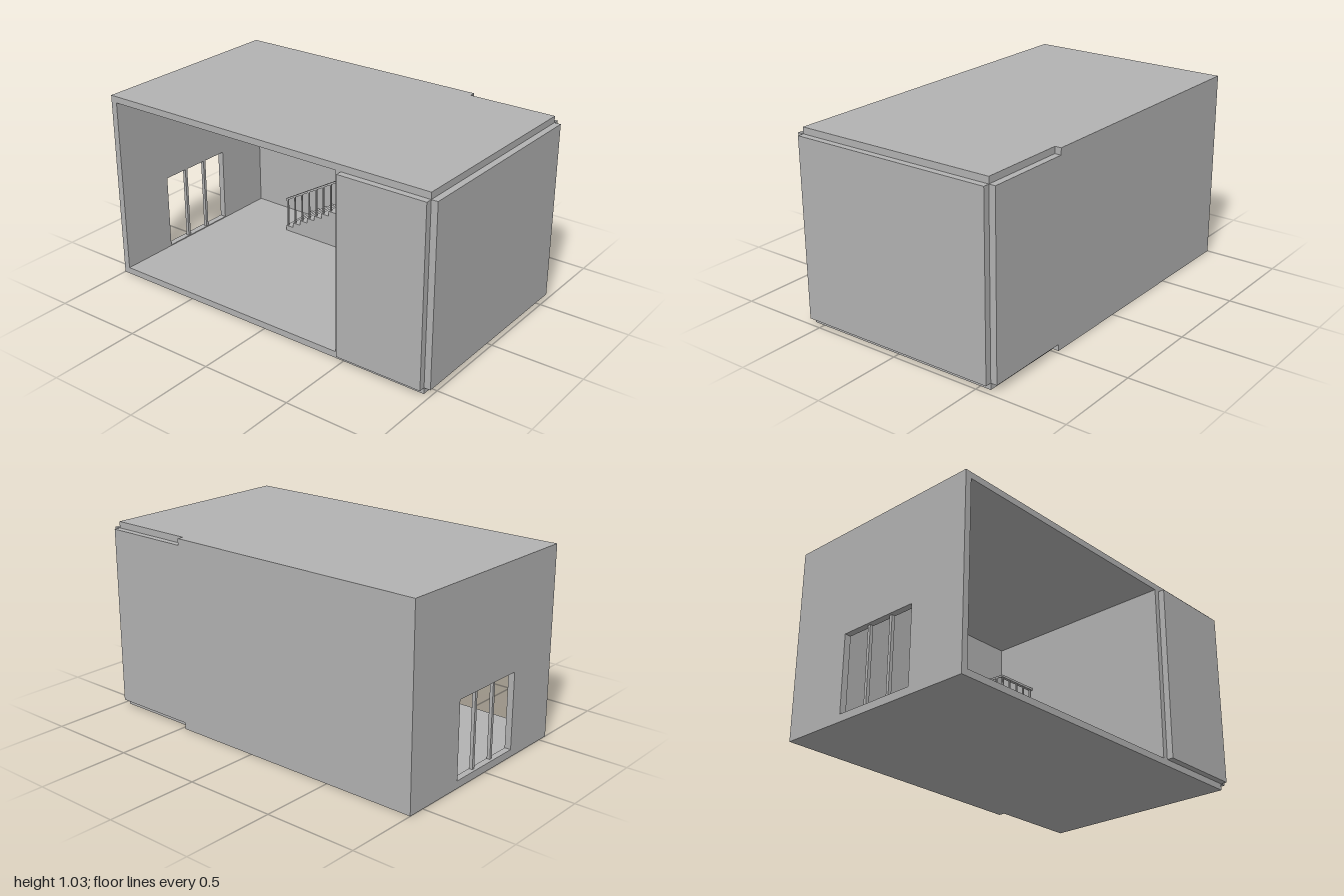
import * as THREE from 'three';

export function createModel() {
  const model = new THREE.Group();
  model.name = 'cutawayRoom';
  const plaster = new THREE.MeshStandardMaterial({ color: 0xb2b2b2 });
  plaster.name = 'plasterGrey';

  const add = (name, geometry, parent = model) => {
    const mesh = new THREE.Mesh(geometry, plaster);
    mesh.name = name;
    parent.add(mesh);
    return mesh;
  };
  // Box given by its limits on each axis
  const box = (name, x0, x1, y0, y1, z0, z1, parent) => {
    const mesh = add(name, new THREE.BoxGeometry(x1 - x0, y1 - y0, z1 - z0), parent);
    mesh.position.set((x0 + x1) / 2, (y0 + y1) / 2, (z0 + z1) / 2);
    return mesh;
  };

  const T = 0.035, H = 1.035, TOP = H - T; // slab thickness, height, ceiling
  const OUT = 0.595, IN = 0.56, END = 0.965;

  // Slabs and walls
  box('floor', -END, END, 0, T, -IN, IN);
  box('roof', -END, END, TOP, H, -IN, IN);
  box('backWall', -END, 0.48, 0, H, -OUT, -IN);
  box('partitionWall', 0.45, 0.48, T, TOP, -IN, IN);
  box('frontPanel', 0.48, END, T, TOP, IN, OUT);
  box('backPanel', 0.48, END, T, TOP, -OUT, -IN);
  box('endWall', END, 1, T, TOP, -IN, IN);

  // End wall with a window opening, drawn in the z-y plane
  const rect = (Type, a, b, c, d) => new Type([[a, c], [b, c], [b, d], [a, d]].map(p => new THREE.Vector2(...p)));
  const wall = rect(THREE.Shape, -OUT, IN, 0, H);
  wall.holes.push(rect(THREE.Path, -0.23, 0.23, 0.04, 0.455));
  const wallGeometry = new THREE.ExtrudeGeometry(wall, { depth: T, bevelEnabled: false });
  wallGeometry.rotateY(-Math.PI / 2);
  add('windowWall', wallGeometry).position.x = -END;
  for (const z of [-0.075, 0.075]) {
    box('windowMullion', -0.985, -0.967, 0.04, 0.455, z - 0.008, z + 0.008);
  }

  // Solid staircase with a landing, extruded from its side profile
  const stairs = new THREE.Group();
  stairs.name = 'stairs';
  model.add(stairs);
  const STEPS = 15, RUN = 0.0515, RISE = 0.03, X0 = -0.57, FRONT = -0.32;
  const landingX = X0 + STEPS * RUN, landingY = T + (STEPS + 1) * RISE;
  const profile = new THREE.Shape();
  profile.moveTo(X0, T);
  for (let i = 0; i <= STEPS; i++) {
    const y = T + (i + 1) * RISE;
    profile.lineTo(X0 + i * RUN, y);
    profile.lineTo(i < STEPS ? X0 + (i + 1) * RUN : 0.45, y);
  }
  profile.lineTo(0.45, T);
  const steps = add('steps', new THREE.ExtrudeGeometry(profile, { depth: FRONT + IN, bevelEnabled: false }), stairs);
  steps.position.z = -IN;

  // Handrail, sloped and then level
  const R0 = 0.223, R1 = 0.673, RT = 0.013, railZ = FRONT - 0.009;
  const rail = new THREE.Shape([
    [X0, R0], [landingX, R1], [0.45, R1], [0.45, R1 + RT], [landingX, R1 + RT], [X0, R0 + RT],
  ].map(p => new THREE.Vector2(...p)));
  const handrail = add('handrail', new THREE.ExtrudeGeometry(rail, { depth: 0.018, bevelEnabled: false }), stairs);
  handrail.position.z = railZ - 0.009;

  // Balusters, one per tread and five on the landing
  const B = 0.004;
  const baluster = (x, y0, y1) => box('baluster', x - B, x + B, y0, y1, railZ - B, railZ + B, stairs);
  for (let i = 0; i < STEPS; i++) {
    const x = X0 + 0.01 + i * RUN;
    baluster(x, T + (i + 1) * RISE, R0 + 0.004 + (x - X0) * (R1 - R0) / (landingX - X0));
  }
  for (let i = 0; i < 5; i++) baluster(landingX + 0.01 + i * 0.0563, landingY, R1 + 0.004);

  return model;
}
